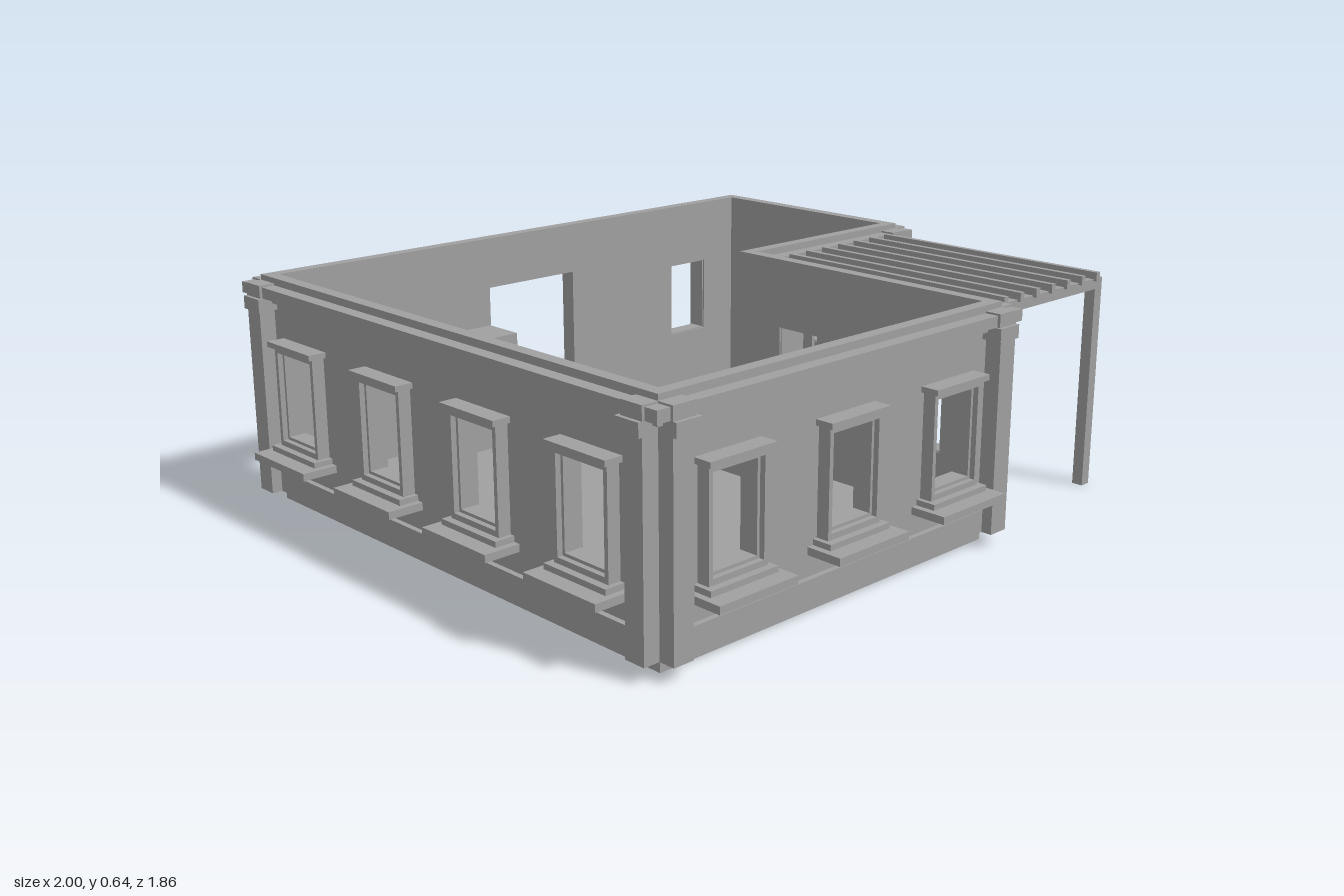
import * as THREE from 'three';

const H = 0.64, FLOOR = 0.04, T = 0.035;

export function createModel() {
  const house = new THREE.Group();
  house.name = 'house';
  const stone = new THREE.MeshStandardMaterial({ color: 0xa0a0a0 });
  stone.name = 'grey stone';

  const add = (parent, name, geo) => {
    const m = new THREE.Mesh(geo, stone);
    m.name = name;
    parent.add(m);
    return m;
  };
  // Box given by its minimum and maximum on each axis
  const box = (parent, name, x0, x1, y0, y1, z0, z1) => {
    const m = add(parent, name, new THREE.BoxGeometry(x1 - x0, y1 - y0, z1 - z0));
    m.position.set((x0 + x1) / 2, (y0 + y1) / 2, (z0 + z1) / 2);
    return m;
  };
  const rect = (x0, x1, y0, y1) => [[x0, y0], [x1, y0], [x1, y1], [x0, y1]]
    .map(p => new THREE.Vector2(...p));
  const extrude = (points, holes, depth) => {
    const s = new THREE.Shape(points);
    holes.forEach(h => s.holes.push(new THREE.Path(h)));
    return new THREE.ExtrudeGeometry(s, { depth, bevelEnabled: false });
  };

  // L-shaped plan, grown outwards by o (shape y is -z)
  const plan = o => [
    [-0.865 - o, -0.79 - o], [0.245 + o, -0.79 - o], [0.245 + o, 0.065 - o],
    [0.865 + o, 0.065 - o], [0.865 + o, 0.715 + o], [-0.865 - o, 0.715 + o],
  ].map(p => new THREE.Vector2(...p));
  const layer = (name, y0, y1, outer, inner) => {
    const m = add(house, name,
      extrude(plan(outer), inner === undefined ? [] : [plan(inner)], y1 - y0));
    m.rotation.x = -Math.PI / 2;
    m.position.y = y0;
  };
  layer('floorSlab', 0, FLOOR, 0.015);
  layer('cornice', 0.59, 0.62, 0.072, 0.02);
  layer('corniceLowerStep', 0.575, 0.59, 0.05, 0.02);

  // Window surround at local position x on a wall
  const addWindow = (wall, x) => {
    const w = new THREE.Group();
    w.name = 'window';
    w.position.x = x;
    wall.add(w);
    const ring = (name, outer, inner, z0, z1) =>
      add(w, name, extrude(outer, [inner], z1 - z0)).position.z = z0;
    ring('outerFrame', rect(-0.092, 0.092, 0.19, 0.465), rect(-0.08, 0.08, 0.205, 0.45), 0.02, 0.07);
    ring('innerFrame', rect(-0.082, 0.082, 0.2, 0.455), rect(-0.072, 0.072, 0.213, 0.442), 0.005, 0.055);
    box(w, 'headMoulding', -0.103, 0.103, 0.465, 0.48, 0.03, 0.085);
    box(w, 'upperSill', -0.105, 0.105, 0.175, 0.19, 0.03, 0.09);
    box(w, 'sill', -0.123, 0.123, 0.155, 0.175, 0.03, 0.135);
  };

  // Double pilaster half at one end of a wall (side = -1 or 1)
  const addPilaster = (wall, len, side) => {
    const span = (name, inset, y0, y1, z1) => {
      const a = side * (len / 2 + T), b = side * (len / 2 - inset);
      box(wall, name, Math.min(a, b), Math.max(a, b), y0, y1, 0.01, z1);
    };
    span('pilaster', 0.025, FLOOR, 0.6, 0.08);
    span('pilasterCap', 0.04, 0.555, 0.59, 0.09);
    span('pilasterTop', 0.032, 0.59, 0.625, 0.08);
  };

  // Walls: local x along the wall, local z outwards from the inner face
  const walls = [
    { name: 'frontWall', x: -0.31, z: 0.79, turn: 0, len: 1.11, ends: [1, 1], windows: [-0.385, 0, 0.38] },
    { name: 'courtSideWall', x: 0.245, z: 0.3625, turn: 1, len: 0.855, ends: [1, 0], windows: [-0.2375, 0.1925] },
    { name: 'courtFrontWall', x: 0.555, z: -0.065, turn: 0, len: 0.62, ends: [0, 1], windows: [0.02] },
    { name: 'wingEndWall', x: 0.865, z: -0.39, turn: 1, len: 0.65, ends: [1, 1], windows: [0] },
    { name: 'backWall', x: 0, z: -0.715, turn: 2, len: 1.73, ends: [1, 1], windows: [-0.66, 0.66], door: 0.17 },
    { name: 'rightWall', x: -0.865, z: 0.0375, turn: -1, len: 1.505, ends: [1, 1], windows: [-0.5875, -0.1975, 0.1875, 0.5725] },
  ];
  for (const { name, x, z, turn, len, ends, windows, door } of walls) {
    const wall = new THREE.Group();
    wall.name = name;
    wall.position.set(x, 0, z);
    wall.rotation.y = turn * Math.PI / 2;
    house.add(wall);
    const x0 = -len / 2 - ends[0] * T, x1 = len / 2 + ends[1] * T;

    // Wall panel, with the doorway cut into its lower edge
    const outline = rect(x0, x1, FLOOR, H);
    if (door) {
      outline.splice(1, 0, ...[[-door, FLOOR], [-door, 0.49], [door, 0.49], [door, FLOOR]]
        .map(p => new THREE.Vector2(...p)));
    }
    add(wall, 'wallPanel', extrude(outline, windows.map(c => rect(c - 0.075, c + 0.075, 0.21, 0.445)), T));
    windows.forEach(c => addWindow(wall, c));

    // Baseboard, interrupted by the doorway
    const runs = door ? [[x0, -door], [door, x1]] : [[x0, x1]];
    runs.forEach(([a, b]) => box(wall, 'baseboard', a, b, FLOOR, 0.1, 0.01, 0.05));

    if (door) {
      for (const s of [-1, 1]) {
        box(wall, 'doorJamb', s * door - 0.008, s * door + 0.008, FLOOR, 0.5, 0, 0.05);
      }
      box(wall, 'doorCanopy', -0.255, 0.255, 0.535, 0.556, 0.02, 0.215);
    }
    ends.forEach((convex, i) => convex && addPilaster(wall, len, i ? 1 : -1));
  }

  // Pergola over the court
  const pergola = new THREE.Group();
  pergola.name = 'pergola';
  house.add(pergola);
  for (let i = 0; i < 7; i++) {
    const c = 0.38 + i * 0.0708;
    box(pergola, 'rafter', c - 0.008, c + 0.008, 0.6, 0.625, 0.01, 0.767);
  }
  box(pergola, 'frontBeam', 0.32, 0.84, 0.575, 0.605, 0.725, 0.757);
  box(pergola, 'wallBeam', 0.32, 0.84, 0.575, 0.605, -0.03, 0.025);
  box(pergola, 'post', 0.808, 0.84, 0, 0.58, 0.725, 0.757);

  // Furniture inside
  box(house, 'cabinet', -0.49, -0.165, FLOOR, 0.375, -0.715, -0.585);
  box(house, 'bench', 0.08, 0.235, FLOOR, 0.12, -0.065, 0.305);
  box(house, 'benchCushion', 0.1, 0.215, 0.12, 0.135, 0.2, 0.285);

  return house;
}
